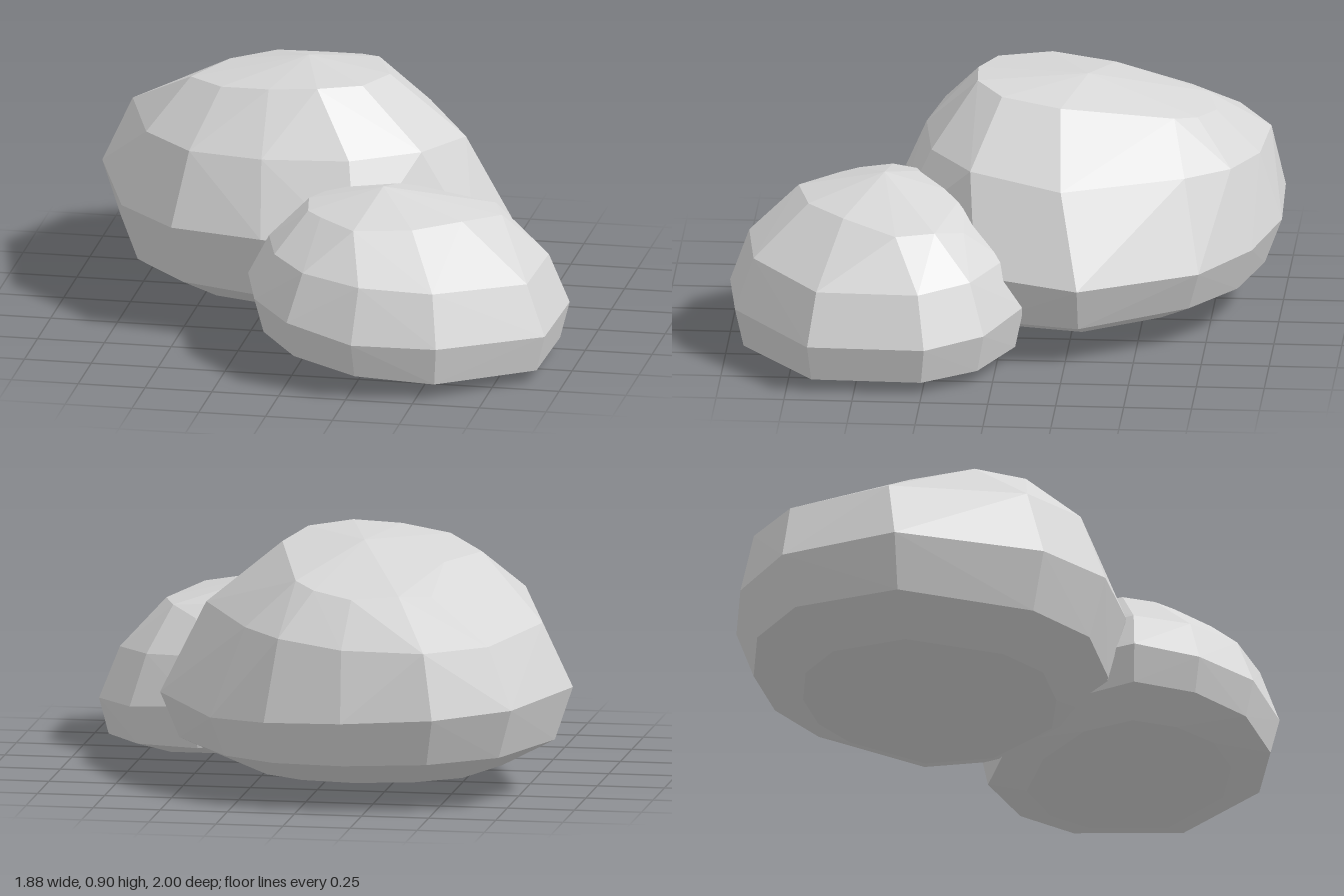
import * as THREE from 'three';
import { ConvexGeometry } from 'three/addons/geometries/ConvexGeometry.js';

const stone = new THREE.MeshStandardMaterial({ color: 0xd7d7d7, flatShading: true });
stone.name = 'light grey stone';

// Ring scaled about a vertical axis, its height given by a rule of x
const scaledRing = (ring, [cx, cz], f, height) => ring.map(([x, , z]) => {
  const nx = cx + (x - cx) * f;
  return [nx, height(nx), cz + (z - cz) * f];
});

// Faceted convex rock wrapped around its rings and its peak
function boulder(name, rings, peak) {
  const points = [...rings.flat(), peak].map(p => new THREE.Vector3(...p));
  const mesh = new THREE.Mesh(new ConvexGeometry(points), stone);
  mesh.name = name;
  return mesh;
}

// Large rock at the back
function largeBoulder() {
  const girth = [
    [-0.17, 0.34, -1.0], [0.13, 0.32, -0.91], [0.36, 0.3, -0.73], [0.62, 0.31, -0.3],
    [0.55, 0.34, 0.08], [0.17, 0.38, 0.41], [-0.18, 0.41, 0.43], [-0.53, 0.41, 0.35],
    [-0.76, 0.41, 0.12], [-0.94, 0.4, -0.43], [-0.78, 0.38, -0.84], [-0.51, 0.36, -0.99],
  ];
  const shoulder = [
    [-0.16, 0.6, -0.92], [0.09, 0.62, -0.83], [0.24, 0.63, -0.67], [0.46, 0.64, -0.23],
    [0.36, 0.68, 0.11], [0.12, 0.68, 0.27], [-0.2, 0.68, 0.31], [-0.48, 0.68, 0.26],
    [-0.68, 0.68, 0.06], [-0.83, 0.64, -0.45], [-0.69, 0.61, -0.81], [-0.47, 0.6, -0.94],
  ];
  const crown = [
    [-0.17, 0.76, -0.76], [-0.02, 0.78, -0.7], [0.06, 0.8, -0.62], [0.18, 0.87, -0.21],
    [0.12, 0.89, 0.01], [-0.03, 0.9, 0.11], [-0.21, 0.89, 0.12], [-0.4, 0.87, 0.06],
    [-0.55, 0.84, -0.13], [-0.45, 0.84, -0.37], [-0.45, 0.76, -0.65], [-0.34, 0.77, -0.72],
  ];
  const axis = [-0.17, -0.3];
  const lower = scaledRing(girth, axis, 0.91, x => 0.165 - 0.04 * x);
  const foot = scaledRing(girth, axis, 0.65, x => 0.072 - 0.03 * x);
  return boulder('largeBoulder', [foot, lower, girth, shoulder, crown], [-0.14, 0.9, -0.29]);
}

// Small rock leaning against its front left
function smallBoulder() {
  const girth = [
    [0.53, 0.22, -0.1], [0.79, 0.19, 0.03], [0.94, 0.18, 0.24], [0.93, 0.18, 0.67],
    [0.58, 0.2, 0.96], [0.27, 0.21, 1.0], [0.01, 0.25, 0.9], [-0.15, 0.27, 0.7],
    [-0.22, 0.29, 0.46], [-0.1, 0.28, 0.2], [0.2, 0.25, -0.02],
  ];
  const crown = [
    [0.56, 0.51, 0.12], [0.66, 0.54, 0.22], [0.71, 0.54, 0.36], [0.6, 0.57, 0.56],
    [0.44, 0.57, 0.7], [0.23, 0.57, 0.75], [0.08, 0.57, 0.61], [0.02, 0.57, 0.54],
    [0, 0.58, 0.42], [0.07, 0.58, 0.27], [0.3, 0.57, 0.14],
  ];
  const axis = [0.38, 0.45];
  const foot = scaledRing(girth, axis, 0.68, x => Math.max(0, 0.065 - 0.1 * x));
  const lower = scaledRing(girth, axis, 0.94, x => 0.12 - 0.16 * x + 0.085 * x * x);
  const shoulder = scaledRing(girth, axis, 0.87, x => 0.43 - 0.07 * x);
  return boulder('smallBoulder', [foot, lower, girth, shoulder, crown], [0.28, 0.645, 0.43]);
}

export function createModel() {
  const group = new THREE.Group();
  group.name = 'boulders';
  group.add(largeBoulder(), smallBoulder());
  return group;
}
